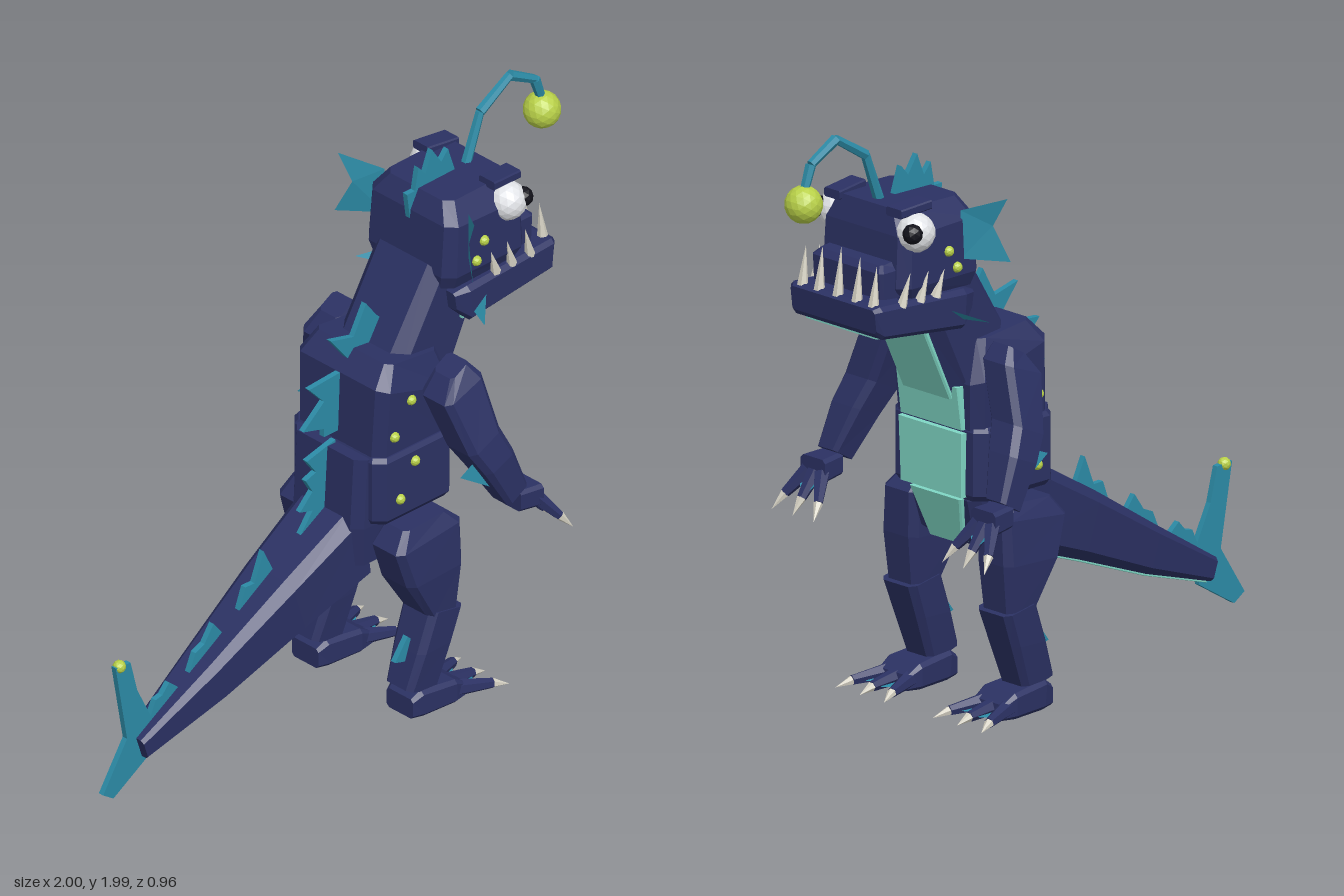
import * as THREE from 'three';

const mat = (name, color, side = THREE.FrontSide) => {
  const m = new THREE.MeshStandardMaterial({ color, side });
  m.name = name;
  return m;
};

export function createModel() {
  const root = new THREE.Group();
  root.name = 'anglerLizard';
  const navy = mat('navySkin', 0x2b3163), teal = mat('tealFin', 0x2c8ba6, THREE.DoubleSide);
  const mint = mat('mintBelly', 0x7fd6c4), lime = mat('limeGlow', 0xb8d048);
  const white = mat('eyeWhite', 0xe6e8ec), black = mat('pupilBlack', 0x12121a), bone = mat('boneTeeth', 0xd6d2c4);

  // Every face gets its own normal
  const add = (name, geo, m) => {
    const g = geo.index ? geo.toNonIndexed() : geo;
    g.computeVertexNormals();
    const mesh = new THREE.Mesh(g, m);
    mesh.name = name;
    root.add(mesh);
    return mesh;
  };

  // Chamfered loft; section = [x0, y0, x1, y1, halfWidth, zCentre]
  const loft = (name, sections, m, chamfer = 0.3) => {
    const rings = sections.map(([x0, y0, x1, y1, w, z = 0]) => {
      const len = Math.hypot(x1 - x0, y1 - y0), c = chamfer * Math.min(len / 2, w), t = c / len;
      return [[t, -w], [1 - t, -w], [1, c - w], [1, w - c], [1 - t, w], [t, w], [0, w - c], [0, c - w]]
        .map(([u, dz]) => new THREE.Vector3(x0 + (x1 - x0) * u, y0 + (y1 - y0) * u, z + dz));
    });
    const tris = [], last = rings[rings.length - 1];
    for (let i = 0; i < rings.length - 1; i++) {
      for (let j = 0; j < 8; j++) {
        const k = (j + 1) % 8, a = rings[i], b = rings[i + 1];
        tris.push([a[j], a[k], b[k]], [a[j], b[k], b[j]]);
      }
    }
    for (let j = 1; j < 7; j++) tris.push([rings[0][0], rings[0][j + 1], rings[0][j]], [last[0], last[j], last[j + 1]]);
    // Turn faces outward whatever the direction of the sections
    const o = rings[0][0];
    const volume = tris.reduce((s, [a, b, c]) =>
      s + a.clone().sub(o).dot(b.clone().sub(o).cross(c.clone().sub(o))), 0);
    if (volume < 0) tris.forEach(t => t.reverse());
    return add(name, new THREE.BufferGeometry().setFromPoints(tris.flat()), m);
  };

  // Upright plate in the side plane
  const plate = (name, pts, m, z = 0, depth = 0.02) => {
    const shape = new THREE.Shape(pts.map(p => new THREE.Vector2(...p)));
    const g = new THREE.ExtrudeGeometry(shape, { depth, bevelEnabled: false });
    return add(name, g.translate(0, 0, z - depth / 2), m);
  };

  // Thin membrane, a fan from its first point
  const membrane = (name, pts) => {
    const v = pts.map(p => new THREE.Vector3(...p)), out = [];
    for (let i = 1; i < v.length - 1; i++) out.push(v[0], v[i], v[i + 1]);
    return add(name, new THREE.BufferGeometry().setFromPoints(out), teal);
  };

  // Tapered rod from a to b
  const rod = (name, a, b, r0, r1, m, sides = 6) => {
    const p = new THREE.Vector3(...a), q = new THREE.Vector3(...b), d = q.clone().sub(p);
    const g = new THREE.CylinderGeometry(r1, r0, d.length(), sides);
    g.applyQuaternion(new THREE.Quaternion().setFromUnitVectors(new THREE.Vector3(0, 1, 0), d.normalize()));
    const c = p.add(q).multiplyScalar(0.5);
    return add(name, g.translate(c.x, c.y, c.z), m);
  };
  const ball = (name, x, y, z, r, m, detail = 1) =>
    add(name, new THREE.IcosahedronGeometry(r, detail).translate(x, y, z), m);

  // Body
  loft('pelvis', [[0.05, 0.53, 0.27, 0.53, 0.11], [-0.02, 0.56, 0.3, 0.56, 0.15], [-0.03, 0.7, 0.34, 0.7, 0.16],
    [-0.015, 0.95, 0.3, 0.95, 0.16]], navy, 0.2);
  loft('waist', [[0.03, 0.71, 0.35, 0.71, 0.195], [0.02, 0.73, 0.36, 0.73, 0.21], [0.02, 0.94, 0.36, 0.94, 0.21],
    [0.03, 0.955, 0.35, 0.955, 0.2]], navy, 0.2);
  loft('chest', [[0.03, 0.945, 0.36, 0.945, 0.195], [0.04, 1.2, 0.37, 1.1, 0.205], [0.1, 1.265, 0.32, 1.24, 0.17]], navy, 0.2);
  loft('neck', [[0.12, 1.18, 0.38, 1.03, 0.15], [0.33, 1.52, 0.5, 1.3, 0.15]], navy);

  // Belly plates
  loft('pelvisBelly', [[0.2, 0.54, 0.31, 0.54, 0.075], [0.25, 0.705, 0.36, 0.705, 0.115]], mint, 0.1);
  loft('waistBelly', [[0.3, 0.72, 0.375, 0.72, 0.14], [0.3, 0.935, 0.38, 0.935, 0.145]], mint, 0.1);
  loft('chestBelly', [[0.3, 0.945, 0.375, 0.945, 0.14], [0.3, 1.1, 0.395, 1.09, 0.14]], mint, 0.1);
  loft('throat', [[0.3, 1.1, 0.395, 1.045, 0.11], [0.44, 1.38, 0.515, 1.3, 0.11]], mint, 0.1);

  // Tail with pale underside
  loft('tail', [[0.06, 0.47, 0.02, 0.76, 0.135], [-0.2, 0.375, -0.27, 0.59, 0.112], [-0.52, 0.25, -0.57, 0.4, 0.08],
    [-0.83, 0.15, -0.855, 0.225, 0.042]], navy);
  loft('tailBelly', [[0.06, 0.462, 0.055, 0.49, 0.085], [-0.2, 0.367, -0.21, 0.4, 0.07], [-0.52, 0.242, -0.53, 0.27, 0.05],
    [-0.815, 0.148, -0.82, 0.17, 0.026]], mint, 0.1);
  plate('tailFin', [[-0.945, 0.52], [-0.88, 0.515], [-0.85, 0.4], [-0.79, 0.28], [-0.8, 0.14], [-0.955, 0.045],
    [-1, 0.075], [-0.895, 0.24]], teal);
  ball('tailLight', -0.92, 0.513, 0, 0.022, lime);

  // Dorsal fins along tail, back, neck and skull
  const tailTop = x => 0.71 + 0.6 * x;
  for (const [x0, x1, t0, t1] of [[-0.82, -0.65, [-0.77, 0.33], [-0.71, 0.37]], [-0.64, -0.46, [-0.595, 0.43], [-0.515, 0.505]],
    [-0.42, -0.24, [-0.375, 0.58], [-0.295, 0.68]]]) {
    const xm = (t0[0] + t1[0]) / 2;
    plate('tailSpines', [[x0, tailTop(x0)], t0, [xm, tailTop(xm) + 0.07], t1, [x1, tailTop(x1)]], teal);
  }
  plate('lowerBackFin', [[0.02, 0.96], [-0.105, 0.93], [-0.065, 0.875], [-0.11, 0.86], [-0.08, 0.81], [-0.135, 0.755],
    [-0.08, 0.74], [-0.14, 0.66], [0.02, 0.68]], teal);
  plate('upperBackFin', [[0.06, 1.2], [-0.095, 1.19], [-0.03, 1.12], [-0.12, 1.045], [-0.03, 1.02], [-0.03, 0.99], [0.06, 0.99]], teal);
  plate('neckFin', [[0.08, 1.23], [0, 1.33], [0.1, 1.305], [0.155, 1.405], [0.2, 1.345], [0.25, 1.3], [0.15, 1.18]], teal);
  plate('headCrest', [[0.35, 1.62], [0.335, 1.73], [0.37, 1.73], [0.385, 1.81], [0.415, 1.775], [0.445, 1.85],
    [0.485, 1.79], [0.515, 1.825], [0.55, 1.72]], teal);

  // Head, jaw and chin
  loft('skull', [[0.345, 1.44, 0.67, 1.45, 0.18], [0.335, 1.49, 0.69, 1.49, 0.2], [0.35, 1.67, 0.68, 1.66, 0.195],
    [0.385, 1.735, 0.66, 1.74, 0.145]], navy, 0.2);
  loft('snout', [[0.64, 1.455, 0.745, 1.465, 0.16], [0.64, 1.55, 0.75, 1.55, 0.16], [0.64, 1.58, 0.73, 1.57, 0.14]], navy, 0.2);
  loft('jaw', [[0.38, 1.36, 0.37, 1.425, 0.19], [0.43, 1.31, 0.42, 1.44, 0.21], [0.78, 1.35, 0.79, 1.46, 0.208],
    [0.8, 1.37, 0.81, 1.45, 0.19]], navy, 0.25);
  loft('chin', [[0.43, 1.301, 0.43, 1.33, 0.165], [0.77, 1.34, 0.77, 1.37, 0.16]], mint, 0.1);
  for (const z of [-0.16, -0.085, 0, 0.085, 0.16])
    rod('frontTooth', [0.785, 1.45, z], [0.77, 1.615 - Math.abs(z) * 0.2, z], 0.019, 0, bone);

  // Lure
  const stalk = [[0.6, 1.72, 0], [0.665, 1.895, 0], [0.795, 1.975, 0], [0.905, 1.915, 0], [0.935, 1.83, 0]];
  for (let i = 0; i < 4; i++) rod('lureStalk', stalk[i], stalk[i + 1], 0.018, 0.015, teal);
  ball('lureLight', 0.937, 1.79, 0, 0.062, lime, 2);

  for (const s of [1, -1]) {
    // Face
    ball('eye', 0.615, 1.665, s * 0.175, 0.065, white, 2);
    ball('pupil', 0.655, 1.675, s * 0.205, 0.034, black);
    loft('brow', [[0.55, 1.73, 0.55, 1.76, 0.035, s * 0.15], [0.675, 1.72, 0.675, 1.75, 0.035, s * 0.14]], navy);
    for (const [x, h] of [[0.53, 0.07], [0.6, 0.08], [0.68, 0.09]])
      rod('sideTooth', [x + 0.015, 1.44, s * 0.195], [x - 0.015, 1.46 + h, s * 0.205], 0.018, 0, bone);
    membrane('earFin', [[0.36, 1.65, s * 0.265], [0.33, 1.535, s * 0.315], [0.43, 1.54, s * 0.19], [0.43, 1.7, s * 0.19],
      [0.34, 1.745, s * 0.31]]);
    membrane('cheekFin', [[0.5, 1.39, s * 0.2], [0.4, 1.345, s * 0.295], [0.44, 1.345, s * 0.2]]);

    // Glowing spots
    for (const [x, y, z] of [[0.49, 1.58, 0.198], [0.455, 1.52, 0.2], [0.165, 1.13, 0.203], [0.095, 1.02, 0.2],
      [0.175, 0.905, 0.21], [0.11, 0.79, 0.21]]) ball('spot', x, y, s * z, 0.018, lime);

    // Arm
    loft('arm', [[0.25, 1.21, 0.32, 1.25, 0.045, s * 0.26], [0.2, 1.14, 0.36, 1.2, 0.07, s * 0.27],
      [0.25, 0.96, 0.38, 1.02, 0.07, s * 0.33], [0.3, 0.88, 0.42, 0.93, 0.065, s * 0.355],
      [0.385, 0.74, 0.47, 0.79, 0.045, s * 0.38]], navy);
    membrane('elbowFin', [[0.22, 0.89, s * 0.37], [0.31, 0.925, s * 0.36], [0.39, 0.78, s * 0.38]]);
    loft('hand', [[0.43, 0.7, 0.43, 0.775, 0.045, s * 0.385], [0.52, 0.69, 0.52, 0.77, 0.055, s * 0.385]], navy);
    const tips = [0.31, 0.385, 0.46].map((z, i) => {
      const knuckle = [0.51, 0.72, s * (0.355 + i * 0.03)], tip = [0.57, 0.645, s * z];
      rod('finger', knuckle, tip, 0.027, 0.016, navy);
      rod('fingerClaw', tip, [0.61, 0.595, s * (z + (i - 1) * 0.02)], 0.016, 0, bone);
      return tip;
    });
    for (let i = 0; i < 2; i++)
      membrane('handWeb', [[0.5, 0.72, s * 0.385], tips[i], [0.54, 0.69, s * (0.35 + i * 0.075)], tips[i + 1]]);

    // Leg
    loft('thigh', [[0.09, 0.695, 0.27, 0.705, 0.055, s * 0.205], [0.04, 0.63, 0.32, 0.66, 0.075, s * 0.21],
      [0.08, 0.5, 0.32, 0.51, 0.08, s * 0.215], [0.17, 0.36, 0.3, 0.33, 0.07, s * 0.215]], navy);
    loft('shin', [[0.18, 0.37, 0.32, 0.345, 0.076, s * 0.215], [0.13, 0.23, 0.28, 0.235, 0.072, s * 0.215],
      [0.09, 0.11, 0.22, 0.07, 0.06, s * 0.215]], navy);
    plate('calfFin', [[0.075, 0.205], [0.13, 0.28], [0.17, 0.24], [0.13, 0.19]], teal, s * 0.215);
    loft('foot', [[0.105, 0.005, 0.105, 0.075, 0.06, s * 0.215], [0.15, 0, 0.14, 0.1, 0.072, s * 0.215],
      [0.28, 0, 0.28, 0.085, 0.08, s * 0.215], [0.335, 0.005, 0.33, 0.055, 0.07, s * 0.215]], navy);
    const toes = [0.13, 0.22, 0.31].map((z, i) => {
      const tip = [0.42, 0.025, s * z];
      rod('toe', [0.29, 0.04, s * (0.17 + i * 0.047)], tip, 0.03, 0.017, navy);
      rod('toeClaw', tip, [0.475, 0.008, s * (z + (i - 1) * 0.02)], 0.016, 0, bone);
      return tip;
    });
    for (let i = 0; i < 2; i++)
      membrane('footWeb', [[0.29, 0.03, s * 0.215], toes[i], [0.375, 0.022, s * (0.175 + i * 0.09)], toes[i + 1]]);
  }
  return root;
}
